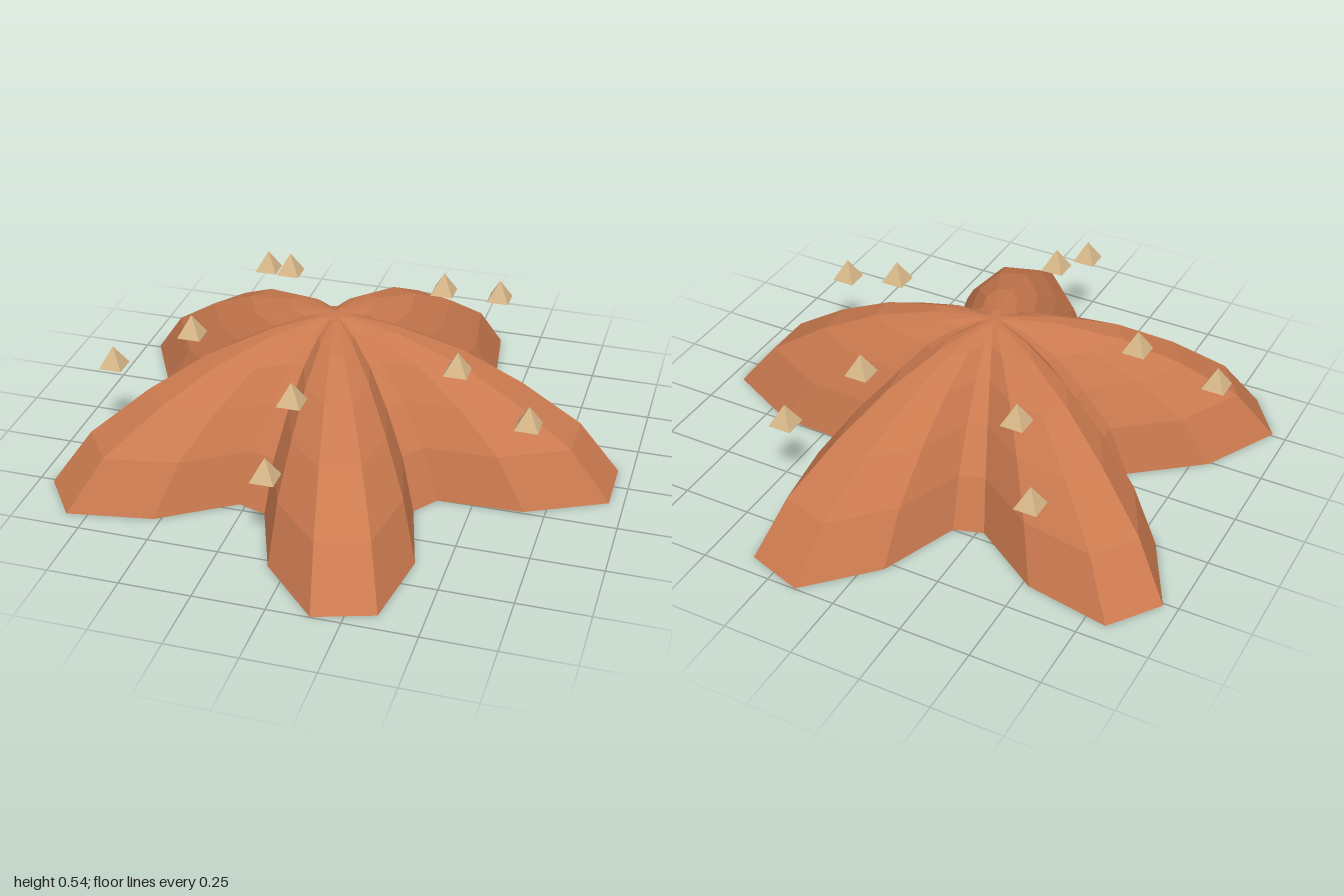
import * as THREE from 'three';

const CENTRE_X = -0.065;
const SIDES = 30;

// Outline radius repeats every six corners: tip, shoulder, valley, valley, shoulder, tip
const OUTLINE = [1.02, 0.78, 0.51, 0.51, 0.78, 1.02];

// Dome profile: [share of the outline radius, height]
const PROFILE = [
  [1, 0], [0.858, 0.182], [0.652, 0.325], [0.445, 0.435], [0.23, 0.505], [0.06, 0.533], [0, 0.535],
];

function starBody() {
  const point = (ring, side) => {
    const s = side % SIDES;
    const angle = THREE.MathUtils.degToRad(6 + 12 * s);
    const [scale, y] = PROFILE[ring];
    const r = OUTLINE[s % 6] * scale;
    return [r * Math.cos(angle), y, r * Math.sin(angle)];
  };
  const positions = [];
  const triangle = (...corners) => corners.forEach((c) => positions.push(...c));

  for (let s = 0; s < SIDES; s++) {
    // Domed upper surface
    for (let k = 0; k < PROFILE.length - 1; k++) {
      const a = point(k, s), b = point(k, s + 1);
      const c = point(k + 1, s + 1), d = point(k + 1, s);
      triangle(a, d, b);
      if (k < PROFILE.length - 2) triangle(b, d, c);
    }
    // Flat underside
    triangle([0, 0, 0], point(0, s), point(0, s + 1));
  }
  const geometry = new THREE.BufferGeometry();
  geometry.setAttribute('position', new THREE.Float32BufferAttribute(positions, 3));
  geometry.computeVertexNormals();
  return geometry;
}

export function createModel() {
  const model = new THREE.Group();
  model.name = 'starfish';

  const orange = new THREE.MeshStandardMaterial({ color: 0xcb7a4f, flatShading: true });
  orange.name = 'burnt orange';
  const tan = new THREE.MeshStandardMaterial({ color: 0xd6b688, flatShading: true });
  tan.name = 'tan';

  const body = new THREE.Mesh(starBody(), orange);
  body.name = 'body';
  body.position.x = CENTRE_X;
  model.add(body);

  // Two square-based spikes beside each arm
  const spikes = new THREE.Group();
  spikes.name = 'spikes';
  const spikeGeometry = new THREE.ConeGeometry(0.058, 0.077, 4).rotateY(Math.PI / 4);
  for (let arm = 0; arm < 5; arm++) {
    const angle = THREE.MathUtils.degToRad(18 + 72 * arm);
    for (const [radius, y] of [[0.5, 0.5], [0.78, 0.382]]) {
      const spike = new THREE.Mesh(spikeGeometry, tan);
      spike.name = 'spike';
      spike.position.set(CENTRE_X + radius * Math.cos(angle), y, radius * Math.sin(angle));
      spikes.add(spike);
    }
  }
  model.add(spikes);
  return model;
}
